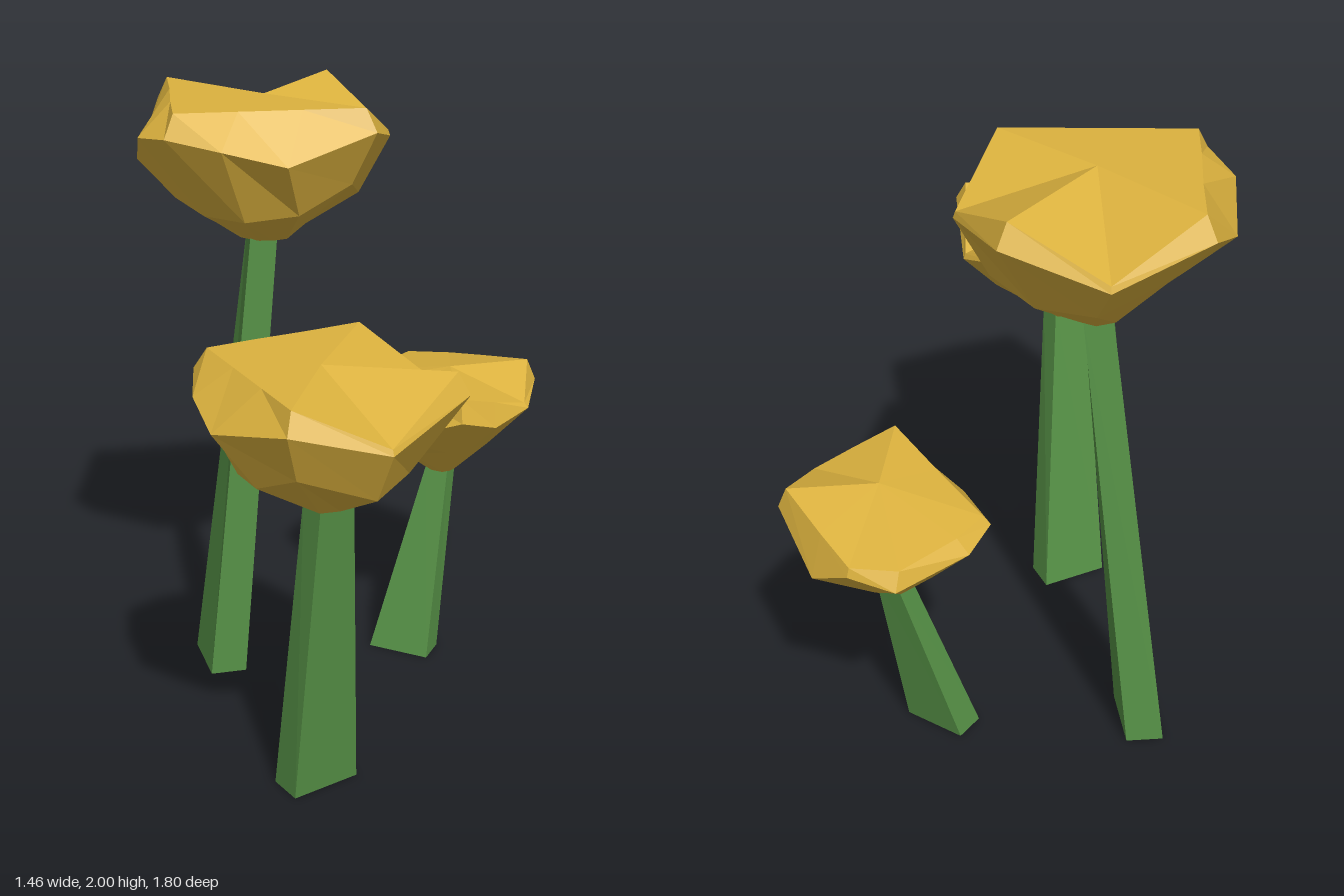
import * as THREE from 'three';

const gold = new THREE.MeshStandardMaterial({ color: 0xdcb23e });
gold.name = 'gold cap';
const green = new THREE.MeshStandardMaterial({ color: 0x569146, side: THREE.DoubleSide });
green.name = 'green stem';

// Faceted surface through rings of points, closed by fans at optional end points
function facetedLoft(rings, top, bottom) {
  const pos = [];
  const tri = (a, b, c) => pos.push(...a, ...b, ...c);
  const n = rings[0].length;
  for (let i = 0; i < n; i++) {
    const j = (i + 1) % n;
    if (top) tri(top, rings[0][i], rings[0][j]);
    for (let r = 0; r < rings.length - 1; r++) {
      const up = rings[r], low = rings[r + 1];
      tri(up[i], low[i], low[j]);
      tri(up[i], low[j], up[j]);
    }
    if (bottom) tri(bottom, rings[rings.length - 1][j], rings[rings.length - 1][i]);
  }
  const geo = new THREE.BufferGeometry();
  geo.setAttribute('position', new THREE.Float32BufferAttribute(pos, 3));
  geo.computeVertexNormals();
  return geo;
}

// Cap: top point, rim, widest ring and lower ring, narrowing to a small base
function makeCap({ top, rim, outer, lower, bottom, baseScale }) {
  const base = lower.map(([x, , z]) => [
    bottom[0] + (x - bottom[0]) * baseScale,
    bottom[1],
    bottom[2] + (z - bottom[2]) * baseScale,
  ]);
  return facetedLoft([rim, outer, lower, base], top, bottom);
}

// Stem: leaning, tapered four-sided tube; corners run front, right, back, left
function makeStem(foot, footY, head, headY) {
  const ring = (pts, y) => pts.map(([x, z]) => [x, y, z]);
  return facetedLoft([ring(head, headY), ring(foot, footY)]);
}

// Broad cap shared by the two larger plants (origin at the top centre)
const broadCap = {
  top: [0.02, 0, 0.015],
  rim: [
    [-0.38, 0, 0], [-0.26, 0, 0.13], [-0.14, 0, 0.27], [-0.03, 0, 0.39], [0.11, 0, 0.26],
    [0.25, 0, 0.13], [0.39, 0, 0], [0.29, -0.13, -0.27], [-0.03, 0, -0.39], [-0.29, -0.14, -0.27],
  ],
  outer: [
    [-0.42, -0.07, 0], [-0.29, -0.2, 0.26], [-0.18, -0.095, 0.38], [-0.03, -0.07, 0.435], [0.14, -0.095, 0.38],
    [0.3, -0.14, 0.27], [0.43, -0.07, 0], [0.295, -0.15, -0.275], [-0.03, -0.07, -0.43], [-0.295, -0.16, -0.275],
  ],
  lower: [
    [-0.28, -0.23, 0], [-0.2, -0.3, 0.17], [-0.14, -0.3, 0.26], [-0.03, -0.34, 0.26], [0.12, -0.34, 0.25],
    [0.25, -0.32, 0.15], [0.34, -0.24, 0], [0.22, -0.33, -0.21], [0, -0.33, -0.255], [-0.18, -0.31, -0.2],
  ],
  bottom: [0, -0.455, 0],
  baseScale: 0.27,
};

// Small tilted cap
const smallCap = {
  top: [0.07, 1.02, -0.61],
  rim: [
    [-0.23, 0.955, -0.58], [-0.21, 0.955, -0.45], [0.03, 0.985, -0.41], [0.26, 1.02, -0.37], [0.31, 0.98, -0.5],
    [0.35, 0.945, -0.63], [0.25, 1.02, -0.82], [0.05, 0.98, -0.86], [-0.1, 0.95, -0.885], [-0.22, 0.955, -0.8],
  ],
  outer: [
    [-0.27, 0.91, -0.57], [-0.23, 0.93, -0.44], [0.03, 0.845, -0.3], [0.285, 0.95, -0.34], [0.33, 0.9, -0.48],
    [0.365, 0.93, -0.63], [0.275, 0.95, -0.835], [0.05, 0.84, -0.905], [-0.1, 0.92, -0.895], [-0.235, 0.9, -0.83],
  ],
  lower: [
    [-0.12, 0.75, -0.58], [-0.1, 0.75, -0.48], [0.03, 0.75, -0.43], [0.16, 0.78, -0.45], [0.21, 0.78, -0.52],
    [0.22, 0.77, -0.62], [0.18, 0.76, -0.75], [0.05, 0.74, -0.76], [-0.05, 0.75, -0.75], [-0.11, 0.75, -0.7],
  ],
  bottom: [0.05, 0.65, -0.6],
  baseScale: 0.3,
};

const plants = [
  {
    name: 'tallPlant',
    foot: [[-0.42, 0.11], [-0.34, 0.02], [-0.51, -0.11], [-0.59, -0.02]],
    head: [[-0.31, -0.01], [-0.257, -0.08], [-0.332, -0.16], [-0.385, -0.09]],
    headY: 1.57,
    cap: broadCap, at: [-0.32, 2, -0.09], turn: 0, scale: 1,
  },
  {
    name: 'frontPlant',
    foot: [[0.255, 0.545], [0.335, 0.33], [0.23, 0.29], [0.15, 0.506]],
    head: [[0.38, 0.58], [0.42, 0.475], [0.345, 0.455], [0.305, 0.56]],
    headY: 1.05,
    cap: broadCap, at: [0.36, 1.445, 0.52], turn: -70, scale: 0.92,
  },
  {
    name: 'shortPlant',
    foot: [[-0.085, -0.37], [0.125, -0.41], [0.105, -0.51], [-0.1, -0.47]],
    head: [[0.02, -0.555], [0.095, -0.57], [0.085, -0.635], [0.005, -0.62]],
    headY: 0.67,
    cap: smallCap, at: [0, 0, 0], turn: 0, scale: 1,
  },
];

export function createModel() {
  const model = new THREE.Group();
  model.name = 'mushroomCluster';
  for (const p of plants) {
    const plant = new THREE.Group();
    plant.name = p.name;

    const stem = new THREE.Mesh(makeStem(p.foot, 0, p.head, p.headY), green);
    stem.name = 'stem';

    const cap = new THREE.Mesh(makeCap(p.cap), gold);
    cap.name = 'cap';
    cap.position.set(...p.at);
    cap.rotation.y = THREE.MathUtils.degToRad(p.turn);
    cap.scale.setScalar(p.scale);

    plant.add(stem, cap);
    model.add(plant);
  }
  return model;
}
